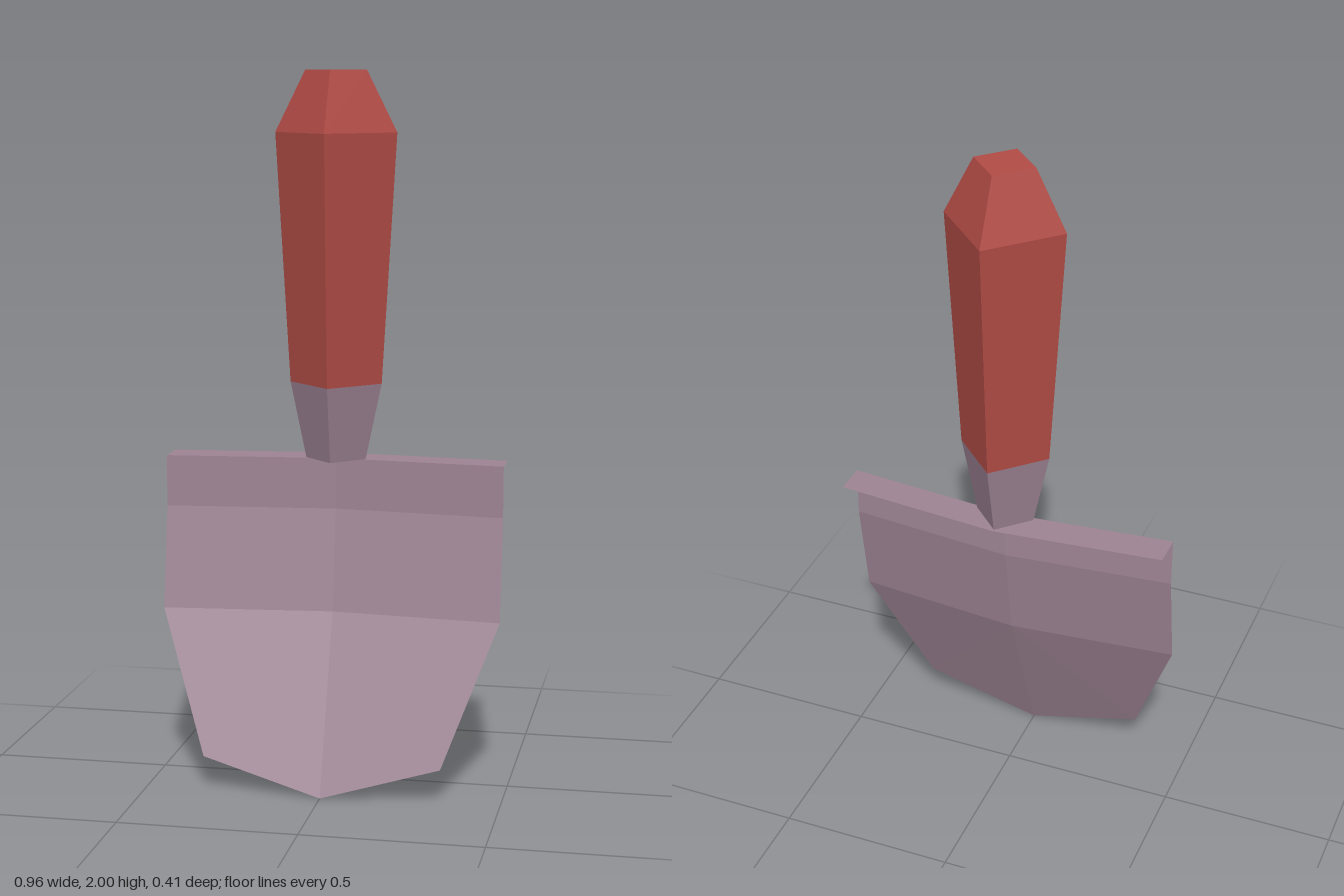
import * as THREE from 'three';

export function createModel() {
  const model = new THREE.Group();
  model.name = 'trowel';
  const red = new THREE.MeshStandardMaterial({ color: 0xb24c46, flatShading: true });
  red.name = 'red grip';
  const steel = new THREE.MeshStandardMaterial({ color: 0x9e8494, flatShading: true, side: THREE.DoubleSide });
  steel.name = 'mauve steel';

  const add = (name, geometry, material, parent = model) => {
    const mesh = new THREE.Mesh(geometry, material);
    mesh.name = name;
    parent.add(mesh);
    return mesh;
  };

  // Handle: stacked four-sided tapers with corners facing front and sides
  const handle = new THREE.Group();
  handle.name = 'handle';
  handle.position.z = -0.034;
  model.add(handle);
  const taper = (name, y0, r0, y1, r1, material, open = true) => {
    const g = new THREE.CylinderGeometry(r1, r0, y1 - y0, 4, 1, open);
    add(name, g, material, handle).position.y = (y0 + y1) / 2;
  };
  taper('ferrule', 0.92, 0.085, 1.135, 0.13, steel, false);
  taper('grip', 1.135, 0.13, 1.83, 0.171, red);
  taper('pommel', 1.83, 0.171, 2, 0.086, red, false);

  // Blade: a thin sheet creased along its middle, with a flange folded back at the top
  // Each row: half width, side y, side z, middle y, middle z
  const rows = [
    [0.48, 0.92, -0.083, 0.92, -0.127],
    [0.48, 0.92, 0.012, 0.92, -0.032],
    [0.48, 0.775, 0.012, 0.775, -0.032],
    [0.48, 0.488, 0.06, 0.488, 0.016],
    [0.335, 0.098, 0.192, 0.0, 0.205],
  ];
  const points = [];
  const faces = [];
  rows.forEach(([w, ys, zs, ym, zm], i) => {
    points.push(-w, ys, zs, 0, ym, zm, w, ys, zs);
    if (i === 0) return;
    for (let c = 0; c < 2; c++) {
      const a = (i - 1) * 3 + c;
      const b = i * 3 + c;
      // Mirror the diagonal so both halves match
      if (c === 0) faces.push(a, b, a + 1, a + 1, b, b + 1);
      else faces.push(a, b, b + 1, a, b + 1, a + 1);
    }
  });
  const sheet = new THREE.BufferGeometry();
  sheet.setAttribute('position', new THREE.Float32BufferAttribute(points, 3));
  sheet.setIndex(faces);
  const blade = sheet.toNonIndexed();
  blade.computeVertexNormals();
  add('blade', blade, steel);

  return model;
}
